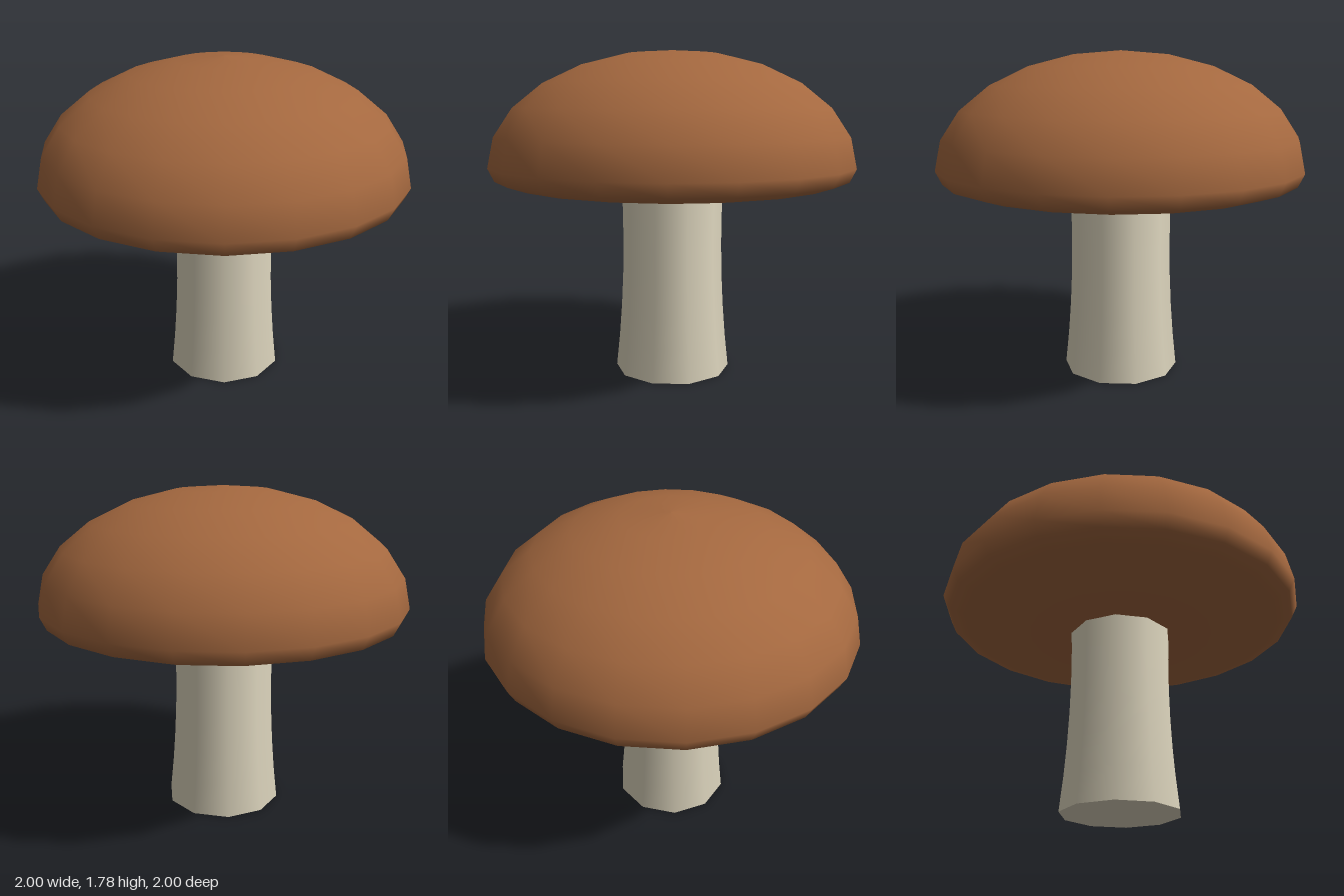
import * as THREE from 'three';

export function createModel() {
  const group = new THREE.Group();
  group.name = 'mushroom';
  const capBrown = new THREE.MeshStandardMaterial({ name: 'cap brown', color: 0xa4683f });
  const stemCream = new THREE.MeshStandardMaterial({ name: 'stem cream', color: 0xe0d8c0 });

  // Cap: a squashed dome above the rim, a shallow bowl below it
  const rings = 12, rimY = 1.16, domeHeight = 0.62, underDepth = 0.155;
  const profile = [];
  for (let i = 0; i <= rings; i++) {
    const a = (i / rings) * Math.PI;
    const c = -Math.cos(a);
    const y = i < rings / 2
      ? rimY - underDepth * Math.pow(-c, 0.58)
      : rimY + domeHeight * c;
    profile.push(new THREE.Vector2(i % rings === 0 ? 0 : Math.sin(a), y));
  }
  const cap = new THREE.Mesh(new THREE.LatheGeometry(profile, 20), capBrown);
  cap.name = 'cap';
  group.add(cap);

  // Stem: ten-sided, flaring towards the foot
  const stemHeight = 1.08;
  const stemGeo = new THREE.CylinderGeometry(1, 1, stemHeight, 10, 6);
  stemGeo.rotateY(Math.PI / 2);
  stemGeo.translate(0, stemHeight / 2, 0);
  const pos = stemGeo.attributes.position;
  for (let i = 0; i < pos.count; i++) {
    const y = pos.getY(i);
    const r = 0.276 + 0.044 * (1 - y / 0.75) ** 2;
    pos.setXYZ(i, pos.getX(i) * r, y, pos.getZ(i) * r);
  }
  const stem = new THREE.Mesh(stemGeo, stemCream);
  stem.name = 'stem';
  group.add(stem);

  return group;
}
